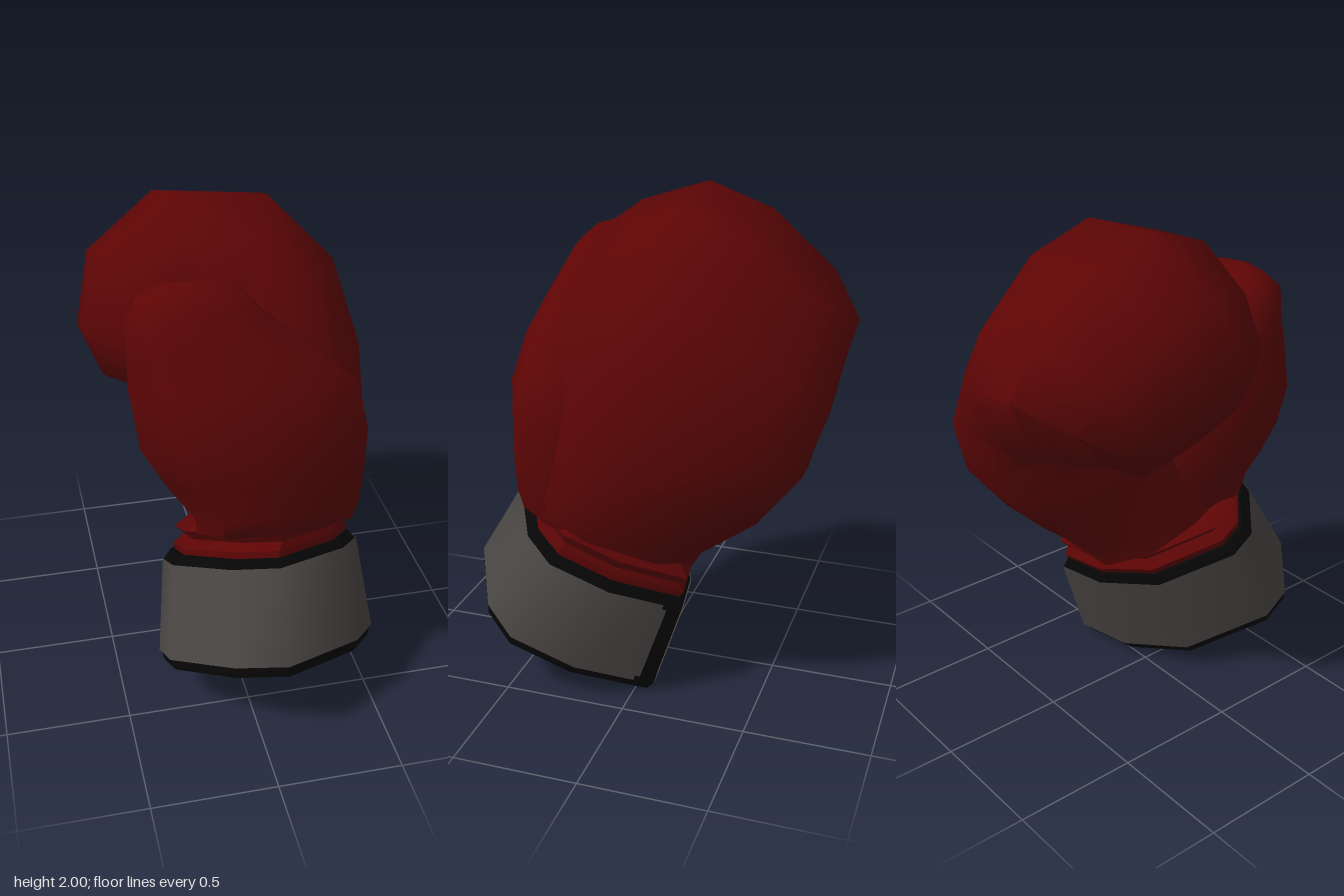
import * as THREE from 'three';
import { toCreasedNormals } from 'three/addons/utils/BufferGeometryUtils.js';

const mat = (name, color, extra = {}) => {
  const m = new THREE.MeshStandardMaterial({ color, ...extra });
  m.name = name;
  return m;
};

// Cross-sections as [s, f]: s = -1..1 from inner to outer edge, f = 0..1 from back to front
const HAND = [[1, .5], [.96, .78], [.42, 1], [-.4, 1], [-.9, .85], [-1, .5], [-.9, .2], [-.5, 0], [.32, 0], [.7, .17]];
const THUMB = [[1, .5], [.9, .75], [.4, .93], [-.2, 1], [-.75, .9], [-1, .6], [-.9, .2], [-.4, 0], [.4, 0], [.9, .2]];
const CUFF = [[1, .63], [.75, .8], [0, 1], [-.45, .92], [-.95, .7], [-1, .55], [-.6, .2], [0, .04], [.57, 0], [.93, .33]];

// Skin a row of sections [outerX, outerY, innerX, innerY, backZ, frontZ]
function loft(ring, sections, { closed = true, crease = 1.1 } = {}) {
  const pos = [], idx = [], n = ring.length;
  for (const [ox, oy, ix, iy, z0, z1] of sections)
    for (const [s, f] of ring) {
      const t = (s + 1) / 2;
      pos.push(ix + (ox - ix) * t, iy + (oy - iy) * t, z0 + (z1 - z0) * f);
    }
  const spans = closed ? n : n - 1;
  for (let j = 0; j < sections.length - 1; j++)
    for (let i = 0; i < spans; i++) {
      const a = j * n + i, b = j * n + (i + 1) % n;
      idx.push(a, a + n, b, b, a + n, b + n);
    }
  if (closed) {
    // End caps as fans around the section centres
    for (const [j, flip] of [[0, false], [sections.length - 1, true]]) {
      const [ox, oy, ix, iy, z0, z1] = sections[j], c = pos.length / 3;
      pos.push((ox + ix) / 2, (oy + iy) / 2, (z0 + z1) / 2);
      for (let i = 0; i < n; i++) {
        const a = j * n + i, b = j * n + (i + 1) % n;
        if (flip) idx.push(c, b, a); else idx.push(c, a, b);
      }
    }
  }
  const g = new THREE.BufferGeometry();
  g.setAttribute('position', new THREE.Float32BufferAttribute(pos, 3));
  g.setIndex(idx);
  return toCreasedNormals(g, crease);
}

// Level section from x and z ranges
const level = (y, x0, x1, z0, z1) => [x1, y, x0, y, z0, z1];

export function createModel() {
  const red = mat('red leather', 0x5e0505);
  const grey = mat('grey strap', 0x4a4644, { side: THREE.DoubleSide });
  const black = mat('black trim', 0x060606);

  const glove = new THREE.Group();
  glove.name = 'boxingGlove';
  const add = (name, geometry, material) => {
    const m = new THREE.Mesh(geometry, material);
    m.name = name;
    glove.add(m);
  };

  // Padded hand, curling over from the wrist to the fingertips
  add('curledHand', loft(HAND, [
    [.48, .6, -.17, .6, .02, .79],
    [.5, .68, -.16, .68, .01, .8],
    [.54, .92, -.14, .95, -.13, .84],
    [.54, 1.25, -.12, 1.08, -.2, .87],
    [.45, 1.6, -.11, 1.16, -.18, .89],
    [.2, 1.87, -.12, 1.2, -.13, .88],
    [-.2, 1.91, -.14, 1.22, -.11, .87],
    [-.48, 1.7, -.16, 1.2, -.02, .83],
    [-.55, 1.42, -.18, 1.17, .1, .79],
    [-.47, 1.22, -.2, 1.13, .15, .72],
  ]), red);

  // Thumb pad rising along the front
  add('thumb', loft(THUMB, [
    level(.57, -.18, .46, .35, .82),
    level(.64, -.19, .48, .35, .88),
    level(.78, -.29, .5, .38, .95),
    level(.95, -.39, .51, .42, 1.03),
    [.47, 1.13, -.42, 1.18, .5, 1.05],
    [.32, 1.26, -.42, 1.32, .6, 1.05],
    [.09, 1.44, -.42, 1.45, .73, 1.05],
    [.02, 1.52, -.37, 1.53, .8, 1.01],
    [-.08, 1.56, -.29, 1.57, .86, .96],
  ]), red);

  // Gathered wrist fold
  add('wristFold', loft(CUFF, [
    level(.42, -.24, .45, .02, .77),
    level(.5, -.25, .46, 0, .79),
    level(.53, -.2, .45, .03, .77),
    level(.57, -.24, .47, .01, .8),
    level(.61, -.14, .43, .06, .76),
  ], { crease: 0.5 }), red);

  // Cuff, slightly wider at its opening, with bevelled rims
  const cuffAt = (y, grow = 0) => {
    const t = (y - .03) / .45;
    return level(y, -.35 + .06 * t - grow, .53 - .04 * t + grow, -.06 + .04 * t - grow, .875 - .065 * t + grow);
  };
  add('cuff', loft(CUFF, [cuffAt(.017, -.02), cuffAt(.06), cuffAt(.44), cuffAt(.472, -.025)], { crease: 0.72 }), black);

  // Strap wrapped round the cuff, with a gap at the back corner
  const a = CUFF[8], b = CUFF[9];
  const between = t => [a[0] + (b[0] - a[0]) * t, a[1] + (b[1] - a[1]) * t];
  const wrap = [between(.26), b, ...CUFF.slice(0, 9)];
  add('strap', loft(wrap, [cuffAt(.062, .005), cuffAt(.44, .005)], { closed: false }), grey);
  add('strapEnd', loft([between(.2), between(.26)], [cuffAt(.085, .005), cuffAt(.42, .005)], { closed: false }), grey);

  // Lean the whole glove backwards
  glove.rotation.x = -0.4;
  const model = new THREE.Group();
  model.name = 'model';
  model.add(glove);
  return model;
}
